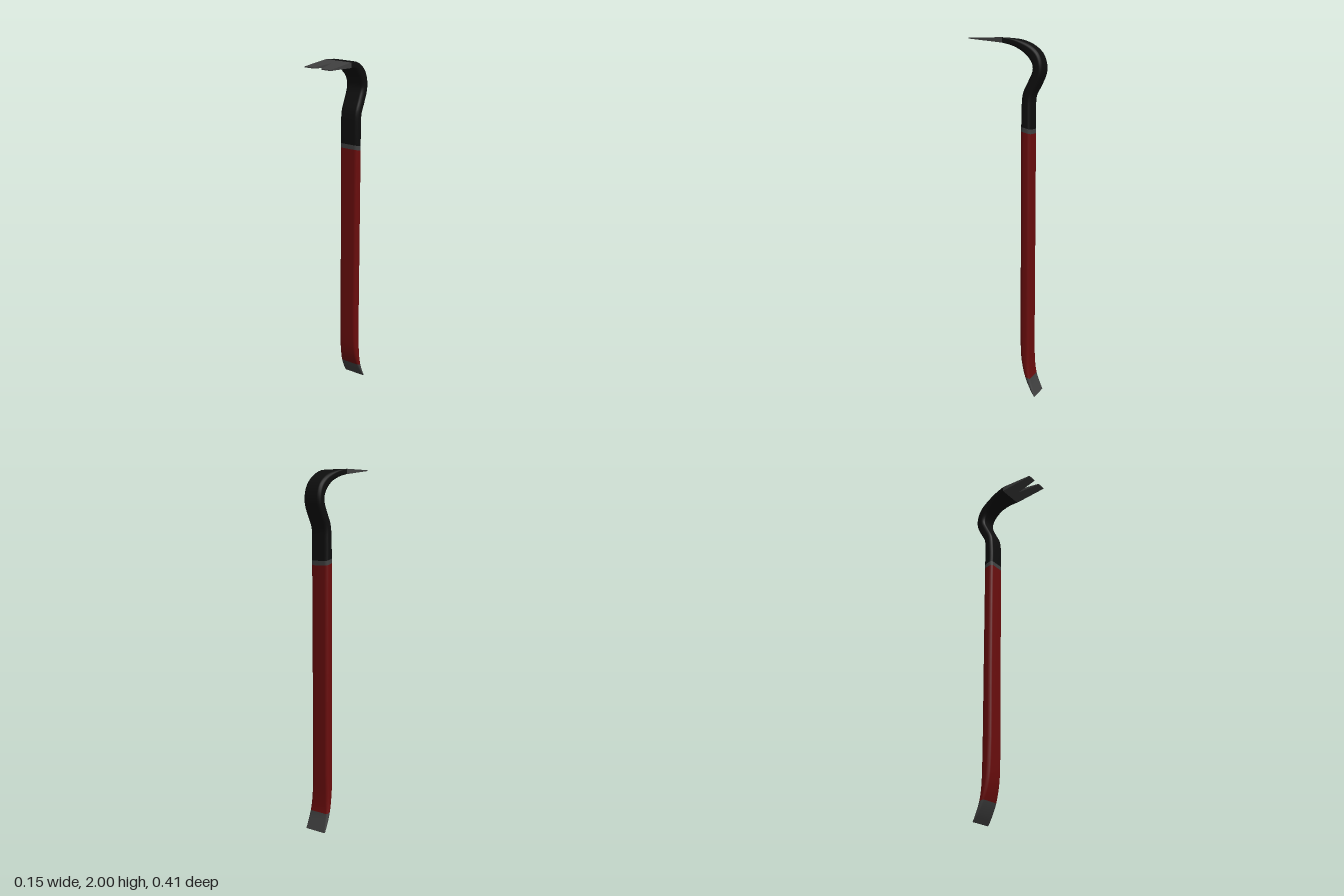
import * as THREE from 'three';

const red = new THREE.MeshStandardMaterial({ name: 'red paint', color: 0x6a0d0d });
const black = new THREE.MeshStandardMaterial({ name: 'black paint', color: 0x0e0e0e });
const steel = new THREE.MeshStandardMaterial({ name: 'bare steel', color: 0x404040 });

// Bar stations from chisel tip to claw: front z, y, back z, y, half width
const stations = [
  [-0.178, 0, -0.184, 0, 0.065],
  [-0.15, 0.045, -0.17, 0.04, 0.064],
  [-0.12, 0.11, -0.152, 0.1, 0.062],
  [-0.096, 0.2, -0.144, 0.19, 0.058],
  [-0.087, 0.33, -0.143, 0.32, 0.0545],
  [-0.087, 0.9, -0.143, 0.9, 0.054],
  [-0.087, 1.505, -0.143, 1.49, 0.054],
  [-0.087, 1.53, -0.143, 1.515, 0.054],
  [-0.088, 1.62, -0.143, 1.61, 0.054],
  [-0.097, 1.71, -0.147, 1.69, 0.054],
  [-0.128, 1.775, -0.175, 1.745, 0.054],
  [-0.15, 1.825, -0.203, 1.81, 0.054],
  [-0.149, 1.855, -0.204, 1.865, 0.054],
  [-0.13, 1.89, -0.182, 1.92, 0.054],
  [-0.09, 1.928, -0.13, 1.964, 0.057],
  [-0.04, 1.957, -0.06, 1.99, 0.066],
  [0.01, 1.972, 0.01, 2, 0.0755],
];
const LAST = stations.length - 1;
const STEPS = 4; // rings per station gap
const ARC = 4; // points per rounded corner
const RING = ARC * 4;

// Whole bar as rings of a rounded rectangle, so normals flow across the colours
function barSurface() {
  const front = new THREE.CatmullRomCurve3(stations.map(s => new THREE.Vector3(s[4], s[1], s[0])));
  const back = new THREE.CatmullRomCurve3(stations.map(s => new THREE.Vector3(s[4], s[3], s[2])));
  const pos = [], index = [];
  const rings = LAST * STEPS;
  for (let i = 0; i <= rings; i++) {
    const f = front.getPoint(i / rings), b = back.getPoint(i / rings);
    const w = f.x;
    const h = Math.hypot(f.y - b.y, f.z - b.z) / 2;
    const fade = Math.min(1, 0.1 + (rings - i) / (2 * STEPS));
    const r = Math.min(0.018 * fade, h * 0.8);
    for (let c = 0; c < 4; c++) {
      const sx = c === 0 || c === 3 ? 1 : -1, sv = c < 2 ? 1 : -1;
      for (let k = 0; k < ARC; k++) {
        const a = (c + k / (ARC - 1)) * Math.PI / 2;
        const x = sx * (w - r) + r * Math.cos(a);
        const v = (sv * (h - r) + r * Math.sin(a)) / h;
        pos.push(x,
          (f.y + b.y) / 2 + v * (f.y - b.y) / 2,
          (f.z + b.z) / 2 + v * (f.z - b.z) / 2);
      }
    }
  }
  for (let i = 0; i < rings; i++) {
    for (let j = 0; j < RING; j++) {
      const a = i * RING + j, b = i * RING + (j + 1) % RING;
      index.push(a, a + RING, b, b, a + RING, b + RING);
    }
  }
  const geo = new THREE.BufferGeometry();
  geo.setAttribute('position', new THREE.Float32BufferAttribute(pos, 3));
  geo.setIndex(index);
  geo.computeVertexNormals();
  return geo;
}

// Cut the faces between two stations out of the bar
function barPart(surface, name, from, to, material) {
  const piece = surface.clone();
  const perStation = STEPS * RING * 6;
  piece.setIndex(Array.from(surface.index.array.slice(from * perStation, to * perStation)));
  const mesh = new THREE.Mesh(piece.toNonIndexed(), material);
  mesh.name = name;
  return mesh;
}

// Flat claw with a V notch, its underside rising towards the tips
function claw() {
  const w = 0.0755, z0 = 0.01, z1 = 0.205;
  const shape = new THREE.Shape([
    [-w, -z0], [-w, -z1], [-0.022, -z1], [0, -0.075], [0.022, -z1], [w, -z1], [w, -z0],
  ].map(p => new THREE.Vector2(...p)));
  const geo = new THREE.ExtrudeGeometry(shape, { depth: 1, bevelEnabled: false });
  geo.rotateX(-Math.PI / 2);
  const p = geo.attributes.position;
  for (let i = 0; i < p.count; i++) {
    const t = (p.getZ(i) - z0) / (z1 - z0);
    p.setY(i, p.getY(i) > 0.5 ? 2 : THREE.MathUtils.lerp(1.972, 1.995, t));
  }
  geo.computeVertexNormals();
  const mesh = new THREE.Mesh(geo, steel);
  mesh.name = 'claw';
  return mesh;
}

export function createModel() {
  const group = new THREE.Group();
  group.name = 'pryBar';
  const surface = barSurface();
  group.add(
    barPart(surface, 'chiselTip', 0, 2, steel),
    barPart(surface, 'shaft', 2, 6, red),
    barPart(surface, 'steelBand', 6, 7, steel),
    barPart(surface, 'hookNeck', 7, LAST, black),
    claw(),
  );

  // Thin closing face under the chisel edge
  const edge = new THREE.Mesh(new THREE.PlaneGeometry(0.128, 0.006), steel);
  edge.name = 'chiselEdge';
  edge.rotation.x = Math.PI / 2;
  edge.position.set(0, 0, -0.181);
  group.add(edge);
  return group;
}
